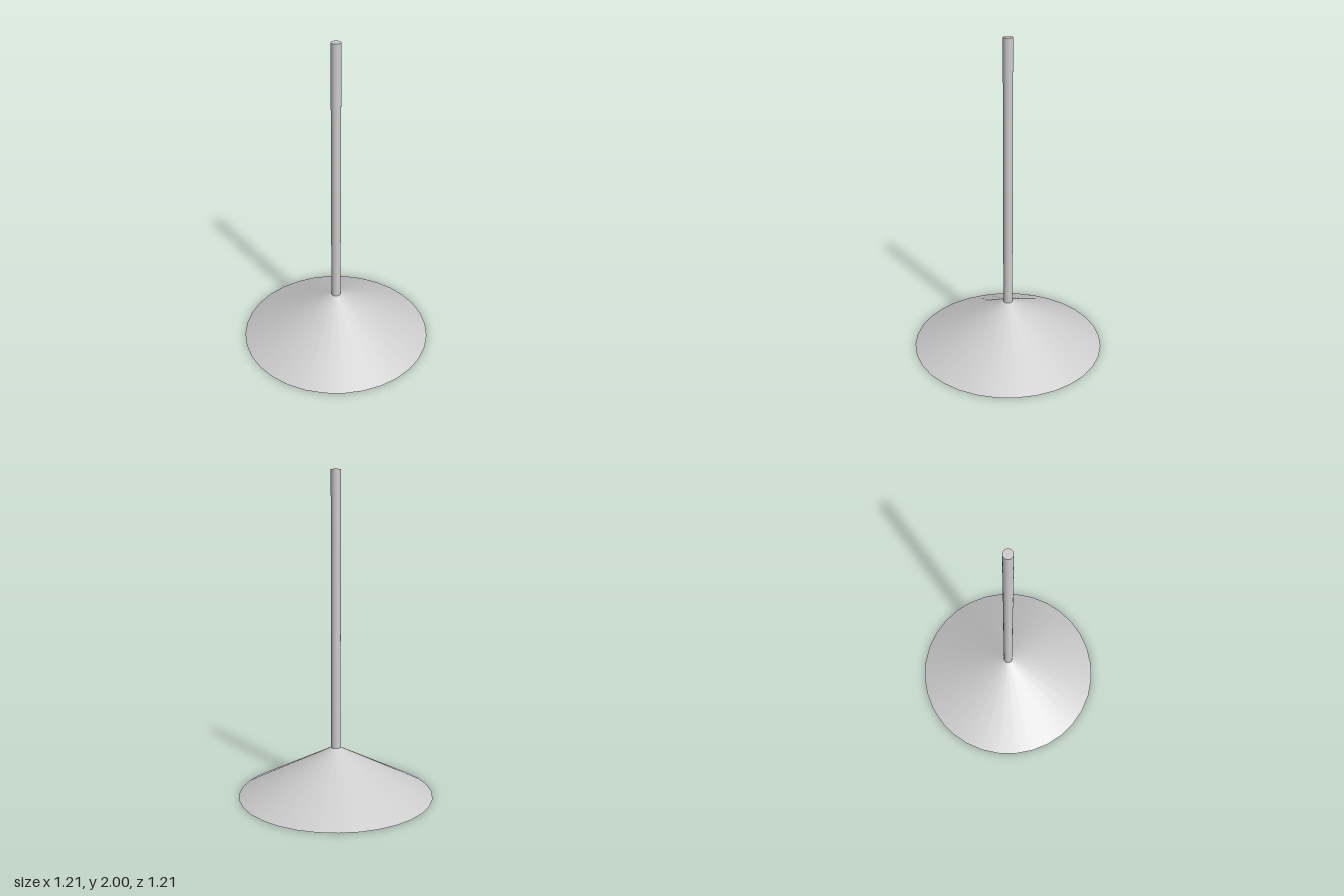
import * as THREE from 'three';

const SEGMENTS = 32;

export function createModel() {
  const group = new THREE.Group();
  const material = new THREE.MeshStandardMaterial({ color: 0xcccccc });
  const add = (name, parent, geometry, y = 0) => {
    const mesh = new THREE.Mesh(geometry, material);
    mesh.name = name;
    mesh.position.y = y;
    parent.add(mesh);
  };

  // Conical foot, hollowed from below; separate strips keep the rims sharp
  const base = new THREE.Group();
  base.name = 'base';
  group.add(base);
  const profile = [[0, 0.17], [0.05, 0.17], [0.395, 0], [0.607, 0], [0.03, 0.3]]
    .map(([r, y]) => new THREE.Vector2(r, y));
  ['hollowCeiling', 'hollowWall', 'footRing', 'outerCone'].forEach((name, i) =>
    add(name, base, new THREE.LatheGeometry([profile[i], profile[i + 1]], SEGMENTS)));

  // Upright pole standing on the tip of the foot
  add('pole', group, new THREE.CylinderGeometry(0.03, 0.03, 1.7, SEGMENTS), 1.15);

  return group;
}
